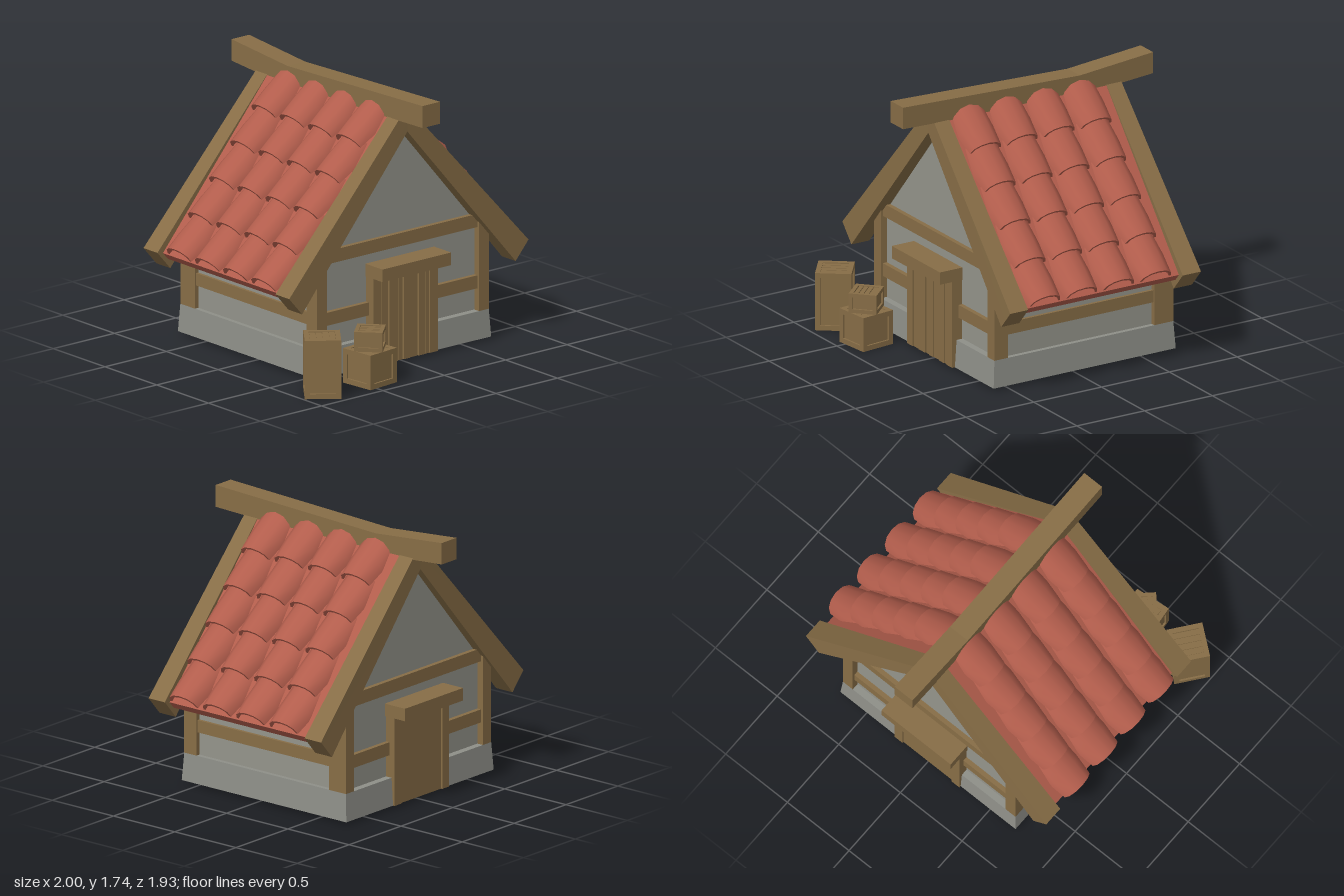
import * as THREE from 'three';
import { toCreasedNormals } from 'three/addons/utils/BufferGeometryUtils.js';

const material = (name, color) => {
  const m = new THREE.MeshStandardMaterial({ color });
  m.name = name;
  return m;
};

// Closed solid through rings of [x, y, z]; caps join the two halves of a ring
function loft(rings, crease = 0.5) {
  const n = rings[0].length, last = (rings.length - 1) * n, index = [];
  const quad = (a, b, c, d) => index.push(a, b, c, a, c, d);
  for (let r = 0; r < rings.length - 1; r++)
    for (let i = 0; i < n; i++) {
      const a = r * n + i, b = r * n + (i + 1) % n;
      quad(a, b, b + n, a + n);
    }
  for (let i = 0; i < n / 2 - 1; i++) {
    const j = n - 1 - i;
    quad(j, j - 1, i + 1, i);
    quad(last + i, last + i + 1, last + j - 1, last + j);
  }
  // Turn the faces outwards if the enclosed volume is negative
  const p = rings.flat().map((v) => new THREE.Vector3(...v));
  let volume = 0;
  for (let i = 0; i < index.length; i += 3)
    volume += p[index[i]].dot(p[index[i + 1]].clone().cross(p[index[i + 2]]));
  if (volume < 0) index.reverse();
  const g = new THREE.BufferGeometry().setFromPoints(p);
  g.setIndex(index);
  return toCreasedNormals(g, crease);
}

export function createModel() {
  const wood = material('wood', 0x876d46);
  const plaster = material('plaster', 0x94948b);
  const stone = material('stone', 0x8e8f88);
  const tile = material('roof tile', 0xb25d4c);
  const model = new THREE.Group();
  model.name = 'cottage';

  const add = (parent, name, geometry, mat) => {
    const mesh = new THREE.Mesh(geometry, mat);
    mesh.name = name;
    parent.add(mesh);
    return mesh;
  };
  const box = (parent, name, mat, x0, x1, y0, y1, z0, z1) => {
    const mesh = add(parent, name, new THREE.BoxGeometry(x1 - x0, y1 - y0, Math.abs(z1 - z0)), mat);
    mesh.position.set((x0 + x1) / 2, (y0 + y1) / 2, (z0 + z1) / 2);
    return mesh;
  };

  // Stone footing, slightly tapered
  const footing = (x, y, zb, zf) => [[-x, y, zb], [x, y, zb], [x, y, zf], [-x, y, zf]];
  add(model, 'footing', loft([footing(0.71, 0.02, -0.732, 0.612), footing(0.7, 0.2, -0.72, 0.6)]), stone);

  // Plaster walls with both gables
  const gable = new THREE.Shape([[-0.67, 0.15], [0.67, 0.15], [0.67, 0.82], [0, 1.59], [-0.67, 0.82]]
    .map(([x, y]) => new THREE.Vector2(x, y)));
  const walls = new THREE.ExtrudeGeometry(gable, { depth: 1.23, bevelEnabled: false });
  add(model, 'walls', walls.translate(0, 0, -0.675), plaster);

  // Timber frame
  for (const s of [-1, 1]) {
    const side = (name, x0, x1, ...rest) =>
      box(model, name, wood, Math.min(s * x0, s * x1), Math.max(s * x0, s * x1), ...rest);
    side('frontPost', 0.62, 0.7, 0.2, 0.8, 0.5, 0.6);
    side('backPost', 0.62, 0.7, 0.2, 0.8, -0.72, -0.58);
    side('sideRail', 0.64, 0.69, 0.35, 0.43, -0.6, 0.52);
  }
  for (const [z0, z1] of [[0.54, 0.585], [-0.705, -0.66]]) {
    box(model, 'middleRail', wood, -0.64, 0.64, 0.345, 0.43, z0, z1);
    box(model, 'upperRail', wood, -0.66, 0.66, 0.745, 0.83, z0, z1 );
  }

  // Front and back doors: frame posts, planks and lintel
  const door = (name, s, wall, planks) => {
    const group = new THREE.Group();
    group.name = name;
    model.add(group);
    const face = wall + s * 0.022;
    box(group, 'lintel', wood, -0.28, 0.28, 0.6, 0.682, wall - s * 0.04, wall + s * 0.125);
    for (const x of [-0.265, 0.195])
      box(group, 'doorPost', wood, x, x + 0.065, 0.02, 0.6, wall - s * 0.05, face);
    box(group, 'doorPanel', wood, -0.2, 0.2, 0.02, 0.6, wall - s * 0.05, wall + s * 0.013 - s * (planks.length ? 0.012 : 0));
    for (const [x0, x1, d] of planks)
      box(group, 'plank', wood, x0, x1, 0.02, 0.598, wall - s * 0.03, wall + s * d);
  };
  door('frontDoor', 1, 0.61, [[-0.192, -0.142, 0.016], [-0.135, -0.06, 0.02], [-0.053, -0.022, 0.014],
    [-0.015, 0.032, 0.019], [0.038, 0.098, 0.014], [0.105, 0.16, 0.02], [0.166, 0.19, 0.015]]);
  door('backDoor', -1, -0.722, []);

  // Ridge beam with a sag towards the back
  const ridge = [[0.875, 1.597, 1.74], [-0.43, 1.56, 1.693], [-0.97, 1.6, 1.74]];
  add(model, 'ridgeBeam', loft(ridge.map(([z, y0, y1]) =>
    [[-0.072, y0, z], [0.072, y0, z], [0.072, y1, z], [-0.072, y1, z]]), 0.05), wood);

  // One curved roof tile: tip at the eave end, half pipe rising towards the ridge
  const tileGeometry = (s, tipX, tipY, z) => {
    const ring = (along, w, h) => {
      const arc = (hw, hh) => Array.from({ length: 7 }, (_, i) => {
        const t = (Math.PI * i) / 6, n = hh * Math.sin(t) - h;
        return [s * (tipX - 0.8 * along + 0.6 * n), tipY + 0.6 * along + 0.8 * n, z + hw * Math.cos(t)];
      });
      return [...arc(w / 2, h), ...arc(w / 2 - 0.016, h - 0.016).reverse()];
    };
    return loft([ring(0, 0.228, 0.082), ring(0.14, 0.262, 0.09), ring(0.31, 0.262, 0.095)], 0.9);
  };

  // Roof: slab, tiles and barge boards on each side
  for (const s of [-1, 1]) {
    const roof = new THREE.Group();
    roof.name = s > 0 ? 'leftRoof' : 'rightRoof';
    model.add(roof);
    const slab = (z) => [[0, 1.67, z], [s * 0.93, 0.6, z], [s * 0.89, 0.555, z], [0, 1.58, z]];
    add(roof, 'roofSlab', loft([slab(-0.63), slab(0.54)]), tile);
    for (let row = 0; row < 5; row++)
      for (let col = 0; col < 4; col++)
        add(roof, 'roofTile', tileGeometry(s, 1 - 0.1725 * row, 0.685 + 0.2 * row, 0.388 - 0.272 * col), tile);
    for (const [a, b, c, d] of [[0.535, 0.643, 0.525, 0.658], [-0.735, -0.627, -0.75, -0.615]]) {
      const end = (x0, y0, x1, y1, z0, z1) =>
        [[s * x0, y0, z0], [s * x1, y1, z0], [s * x1, y1, z1], [s * x0, y0, z1]];
      add(roof, 'bargeBoard', loft([end(0, 1.505, 0, 1.67, a, b), end(0.87, 0.49, 0.975, 0.61, c, d)]), wood);
    }
  }

  // Crates: edge bars around a recessed, planked core
  const crate = (name, size, height, x, y, z, turn) => {
    const group = new THREE.Group();
    group.name = name;
    group.position.set(x, y, z);
    group.rotation.y = turn;
    model.add(group);
    const h = size / 2, bar = size * 0.14, inset = 0.012, core = h - inset;
    box(group, 'core', wood, -core, core, inset, height - inset, -core, core);
    for (const a of [-1, 1]) {
      const lo = a < 0 ? -h : h - bar, hi = lo + bar;
      for (const b of [-1, 1]) {
        const zl = b < 0 ? -h : h - bar;
        box(group, 'cornerBar', wood, lo, hi, 0, height, zl, zl + bar);
      }
      for (const y0 of [0, height - bar]) {
        box(group, 'edgeBar', wood, -h + bar, h - bar, y0, y0 + bar, lo, hi);
        box(group, 'edgeBar', wood, lo, hi, y0, y0 + bar, -h + bar, h - bar);
      }
    }
    const step = (size - 2 * bar) / 4;
    for (let i = 0; i < 4; i++) {
      const x0 = -h + bar + i * step + 0.003;
      box(group, 'lidSlat', wood, x0, x0 + step - 0.006, height - 0.02, height - 0.005, -h + bar, h - bar);
    }
  };
  crate('tallCrate', 0.228, 0.38, -0.83, 0, 0.805, -0.66);
  crate('lowCrate', 0.237, 0.225, -0.45, 0, 0.815, 0.11);
  crate('smallCrate', 0.18, 0.128, -0.45, 0.225, 0.815, 0.75);

  return model;
}
